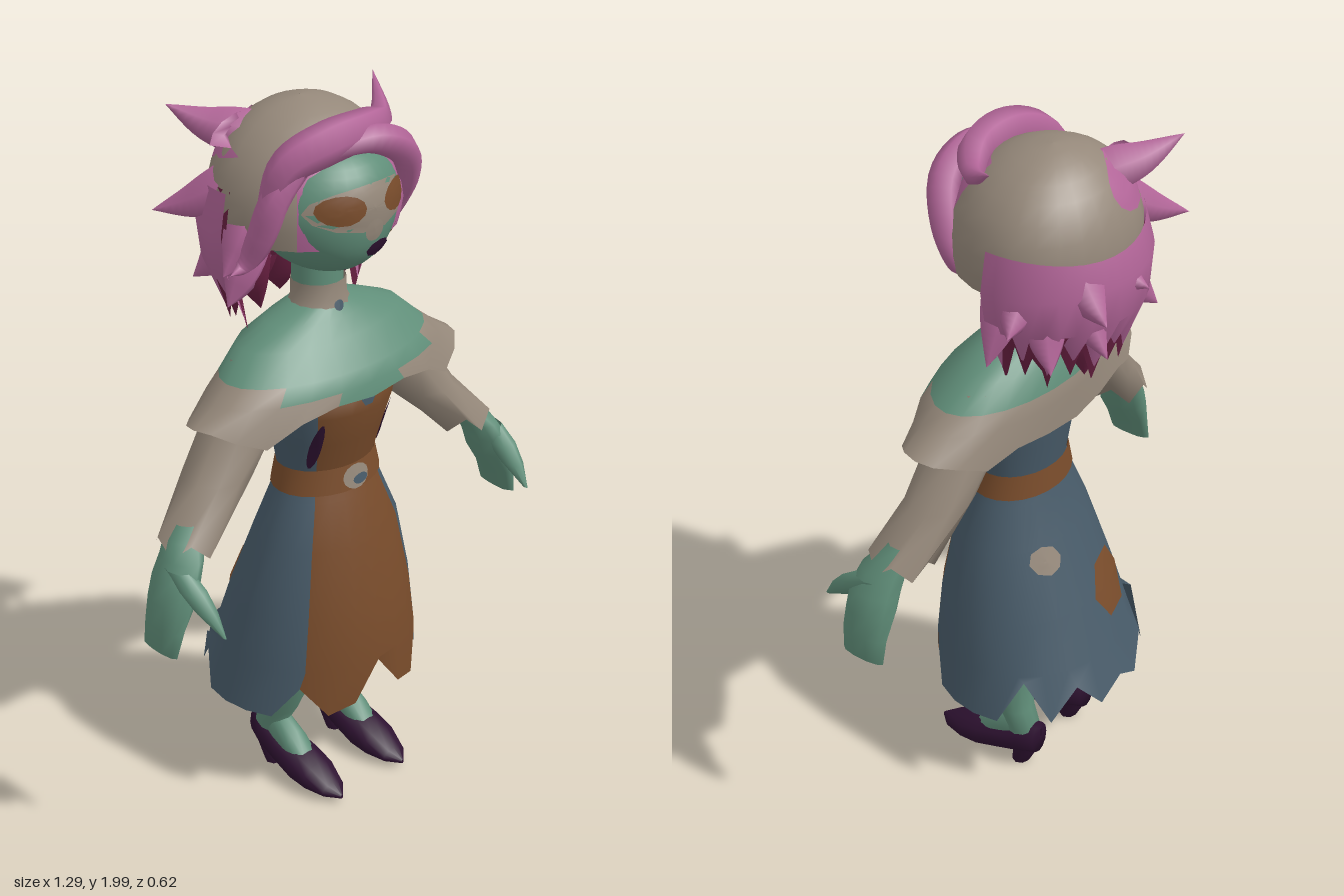
import * as THREE from 'three';

const mat = (name, color) => {
  const m = new THREE.MeshStandardMaterial({ color, side: THREE.DoubleSide });
  m.name = name;
  return m;
};
const skin = mat('green skin', 0x608e79), pink = mat('pink hair', 0xb26598), maroon = mat('dark hair', 0x6a2042),
  beige = mat('beige cloth', 0x95887a), slate = mat('slate cloth', 0x485b69), brown = mat('brown cloth', 0x794c2b),
  plum = mat('dark plum', 0x2e1231);

// Smooth skin through a grid of points; paint(i, j) picks the material of each cell
function surface(name, nu, nv, at, paint, closed = true) {
  const cols = closed ? nu : nu + 1, pos = [], lists = new Map();
  for (let j = 0; j <= nv; j++) for (let i = 0; i < cols; i++) pos.push(...at(i, j));
  for (let j = 0; j < nv; j++) for (let i = 0; i < nu; i++) {
    const m = typeof paint === 'function' ? paint(i, j) : paint;
    if (!lists.has(m)) lists.set(m, []);
    const k = (i + 1) % cols, a = j * cols + i, b = a + cols, c = j * cols + k, d = c + cols;
    lists.get(m).push(a, b, c, b, d, c);
  }
  const g = new THREE.BufferGeometry(), index = [], mats = [...lists.keys()];
  g.setAttribute('position', new THREE.Float32BufferAttribute(pos, 3));
  mats.forEach((m, n) => {
    g.addGroup(index.length, lists.get(m).length, n);
    index.push(...lists.get(m));
  });
  g.setIndex(index);
  g.computeVertexNormals();
  const mesh = new THREE.Mesh(g, mats.length > 1 ? mats : mats[0]);
  mesh.name = name;
  return mesh;
}

// Limb through level rings [x, y, z, rx, rz]; jag lifts alternate points of the last ring
const limb = (name, rings, n, paint, jag = 0) => surface(name, n, rings.length - 1, (i, j) => {
  const [x, y, z, rx, rz] = rings[j], a = i / n * Math.PI * 2;
  return [x + rx * Math.sin(a), y + (j === rings.length - 1 && i % 2 ? jag : 0), z + rz * Math.cos(a)];
}, paint);

// Garment through rings [y, rx, front z, back z] with 24 columns; hem gives heights from front to back
const garment = (name, rings, paint, hem) => surface(name, 24, rings.length - 1, (i, j) => {
  const [y, rx, zf, zb] = rings[j], a = i / 12 * Math.PI;
  const yy = hem && j === rings.length - 1 ? hem[Math.min(i, 24 - i)] : y;
  const r = 1 - 0.3 * Math.max(0, yy - y);
  return [r * rx * Math.sin(a), yy, (zf + zb) / 2 + r * (zf - zb) / 2 * Math.cos(a)];
}, paint);

// Tapering lock of hair along a curve; start 0.5 is widest at its root
function lock(name, pts, r, start = 0.5, m = pink) {
  const curve = new THREE.CatmullRomCurve3(pts.map(p => new THREE.Vector3(...p)));
  const nv = pts.length * 4, f = curve.computeFrenetFrames(nv);
  return surface(name, 6, nv, (i, j) => {
    const t = j / nv, w = r * Math.sin(Math.PI * (start + (1 - start) * t)), a = i / 3 * Math.PI;
    return curve.getPoint(t).addScaledVector(f.normals[j], w * Math.cos(a))
      .addScaledVector(f.binormals[j], w * Math.sin(a)).toArray();
  }, m);
}

// Thin patch laid on the front (dir 1) or back (dir -1) of another mesh
function decal(target, name, m, x, y, rx, ry, lift = 0.005, dir = 1, sides = 14) {
  const g = new THREE.RingGeometry(0.001, 1, sides, 4), p = g.attributes.position, ray = new THREE.Raycaster();
  let z = 0;
  for (let i = p.count - 1; i >= 0; i--) {
    const px = x + dir * rx * p.getX(i), py = y + ry * p.getY(i);
    ray.set(new THREE.Vector3(px, py, dir * 2), new THREE.Vector3(0, 0, -dir));
    const hit = ray.intersectObject(target)[0];
    if (hit) z = hit.point.z;
    p.setXYZ(i, px, py, z + dir * lift);
  }
  g.computeVertexNormals();
  const mesh = new THREE.Mesh(g, m);
  mesh.name = name;
  return mesh;
}

export function createModel() {
  const model = new THREE.Group();
  const add = (...parts) => model.add(...parts);
  const isFront = i => i < 3 || i > 20;

  // Ragged skirt with a brown front panel
  const skirt = garment('skirt', [[1.0, 0.143, 0.175, -0.03], [0.92, 0.168, 0.2, -0.05], [0.8, 0.22, 0.24, -0.09],
    [0.6, 0.268, 0.28, -0.17], [0.45, 0.293, 0.297, -0.225], [0.31, 0.318, 0.3, -0.27]],
  i => isFront(i) ? brown : slate,
  [0.44, 0.33, 0.31, 0.4, 0.31, 0.31, 0.31, 0.31, 0.45, 0.31, 0.41, 0.32, 0.37]);
  const bodice = garment('bodice', [[1.44, 0.07, 0.1, -0.02], [1.36, 0.17, 0.15, -0.05], [1.26, 0.2, 0.235, -0.07],
    [1.19, 0.19, 0.235, -0.065], [1.1, 0.165, 0.21, -0.05], [0.99, 0.143, 0.178, -0.033]],
  i => isFront(i) ? brown : slate);
  const belt = garment('belt', [[1.015, 0.15, 0.187, -0.04], [0.945, 0.165, 0.2, -0.05]], brown);
  add(skirt, bodice, belt);
  add(decal(belt, 'buckle', beige, 0, 0.98, 0.045, 0.034), decal(belt, 'buckleCentre', slate, 0.01, 0.972, 0.026, 0.014, 0.009));
  add(decal(skirt, 'brownPatch', brown, -0.09, 0.6, 0.09, 0.09, 0.007, -1, 6),
    decal(skirt, 'beigePatch', beige, 0.11, 0.765, 0.045, 0.042, 0.007, -1, 8),
    decal(bodice, 'necklineNotch', slate, 0, 1.23, 0.025, 0.022, 0.006, 1, 6));
  for (const s of [-1, 1]) add(decal(bodice, 'lacing', plum, s * 0.123, 1.1, 0.012, 0.075));

  // Shoulder cape with a pale ragged border, narrowing at the front
  const capePaint = (i, j) => (j === 3 && i > 2 && i < 21) || (j === 4 && i > 0 && i < 23) ? beige : skin;
  add(garment('cape', [[1.46, 0.075, 0.115, -0.02], [1.425, 0.17, 0.14, -0.05], [1.385, 0.265, 0.175, -0.08],
    [1.32, 0.335, 0.233, -0.1], [1.28, 0.385, 0.25, -0.105], [1.23, 0.455, 0.257, -0.107]], capePaint,
  [1.24, 1.25, 1.23, 1.18, 1.21, 1.235, 1.235, 1.225, 1.21, 1.18, 1.21, 1.2, 1.19]));

  // Neck and collar
  add(limb('neck', [[0, 1.62, 0.04, 0.07, 0.065], [0, 1.42, 0.045, 0.07, 0.065]], 14, skin));
  const collar = limb('collar', [[0, 1.515, 0.045, 0.075, 0.07], [0, 1.47, 0.047, 0.076, 0.071],
    [0, 1.43, 0.05, 0.1, 0.08]], 14, beige);
  add(collar, decal(collar, 'collarStud', slate, 0, 1.455, 0.016, 0.014));

  // Head with a low brow, flat face and painted details
  const headShape = new THREE.SphereGeometry(1, 32, 24), hp = headShape.attributes.position;
  for (let i = 0; i < hp.count; i++) {
    const y = hp.getY(i), z = hp.getZ(i);
    hp.setXYZ(i, hp.getX(i) * 0.2 * (1 + 0.1 * Math.min(y, 0)), 1.74 + y * (y > 0 ? 0.17 : 0.19),
      0.06 + z * 0.19 * (z > 0 ? 1 + 0.23 * y * y : 1));
  }
  headShape.computeVertexNormals();
  const head = new THREE.Mesh(headShape, skin);
  head.name = 'head';
  add(head, decal(head, 'faceMask', beige, 0, 1.765, 0.168, 0.06, 0.004),
    decal(head, 'nose', beige, 0, 1.705, 0.03, 0.03, 0.005));
  for (const s of [-1, 1]) add(decal(head, 'eyePatch', brown, s * 0.09, 1.772, 0.06, 0.038, 0.008));
  add(decal(head, 'mouth', plum, 0.025, 1.647, 0.042, 0.025, 0.007, 1, 8),
    decal(head, 'cheekMark', brown, 0.13, 1.655, 0.02, 0.025, 0.006, 1, 8));

  // Beige cap with pink hair at its front edge and nape
  const cap = surface('cap', 24, 9, (i, j) => {
    const a = i / 12 * Math.PI, t = Math.max(0.001, j / 9) * Math.PI * 0.58, r = Math.sin(t), c = Math.cos(a);
    return [0.01 + 0.262 * r * Math.sin(a), 1.725 + 0.255 * Math.cos(t), -0.035 + (c > 0 ? 0.27 : 0.215) * r * c];
  }, (i, j) => (j > 7 && i > 6 && i < 17) || (j > 2 && (i < 3 || i > 20)) ? pink : beige);
  add(cap, decal(cap, 'hairPatch', pink, -0.11, 1.88, 0.11, 0.065, 0.006, -1));

  // Back hair: pink outside, dark lining inside
  const hairRings = [[1.79, 0.262, 0.215], [1.68, 0.282, 0.24], [1.57, 0.265, 0.235], [1.42, 0.2, 0.18]];
  const curtain = (name, k, drop, m) => surface(name, 20, 3, (i, j) => {
    const [y, rx, rz] = hairRings[j], a = (85 + i * 9.5) * Math.PI / 180, c = Math.cos(a);
    const lift = j === 3 ? (i % 2 ? 0.11 : (i % 4) * 0.015) - drop : j === 0 ? -0.04 * c * c : 0;
    return [0.005 + k * rx * Math.sin(a), y + lift, -0.035 + k * rz * c];
  }, m, false);
  add(curtain('backHair', 1, 0, pink), curtain('hairLining', 0.94, 0.04, maroon));

  // Flicked hair tips: root, tip, thickness; the lowest ones are dark
  const flicks = [
    [[-0.22, 1.78, -0.1], [-0.32, 1.7, -0.23], 0.07], [[-0.02, 1.7, -0.22], [-0.03, 1.64, -0.3], 0.06],
    [[0.12, 1.72, -0.2], [0.17, 1.63, -0.31], 0.07], [[0.22, 1.68, -0.08], [0.32, 1.6, -0.12], 0.07],
    [[0.25, 1.66, -0.03], [0.3, 1.48, -0.04], 0.07], [[-0.25, 1.7, 0], [-0.3, 1.59, 0.02], 0.07],
    [[-0.24, 1.62, -0.03], [-0.27, 1.49, 0], 0.06], [[0.2, 1.62, -0.14], [0.25, 1.49, -0.2], 0.07],
    [[-0.17, 1.62, -0.16], [-0.2, 1.48, -0.22], 0.07], [[0.04, 1.55, -0.2], [0.06, 1.38, -0.17], 0.07],
    [[0.1, 1.64, -0.2], [0.12, 1.5, -0.28], 0.06], [[-0.1, 1.56, -0.18], [-0.09, 1.4, -0.17], 0.07],
    [[0.18, 1.56, -0.12], [0.17, 1.42, -0.13], 0.06], [[-0.13, 1.88, -0.16], [-0.25, 1.96, -0.25], 0.065]];
  for (const [[x, y, z], tip, r] of flicks) {
    const root = [x * 0.72, y, z * 0.72];
    const mid = root.map((v, n) => (v + tip[n]) / 2 + (n === 1 ? -0.012 : 0));
    add(lock('hairFlick', [root, mid, tip], r, 0.5, tip[1] < 1.45 ? maroon : pink));
  }
  for (const s of [-1, 1]) add(lock('innerLock', [[s * 0.17, 1.68, -0.04], [s * 0.175, 1.57, -0.02], [s * 0.14, 1.44, -0.02]], 0.06, 0.3, maroon));

  // Fringe swept across the brow, and locks framing the face
  add(lock('fringe', [[-0.21, 1.76, 0.08], [-0.175, 1.88, 0.12], [-0.08, 1.925, 0.155], [0.06, 1.935, 0.155],
    [0.17, 1.925, 0.09], [0.25, 1.99, -0.02]], 0.055, 0.15));
  add(lock('longLock', [[-0.08, 1.91, 0.17], [0.04, 1.92, 0.2], [0.14, 1.87, 0.2], [0.2, 1.76, 0.155],
    [0.205, 1.67, 0.12], [0.15, 1.62, 0.14]], 0.042, 0.2));
  add(lock('sideLock', [[-0.12, 1.9, 0.14], [-0.2, 1.8, 0.11], [-0.22, 1.7, 0.08], [-0.25, 1.62, 0.05], [-0.31, 1.61, 0.06]], 0.042, 0.2));

  // Arms and legs, built once for each side
  for (const s of [-1, 1]) {
    const side = new THREE.Group();
    side.name = s > 0 ? 'leftLimbs' : 'rightLimbs';
    const flip = rings => rings.map(([x, ...rest]) => [s * x, ...rest]);
    side.add(limb('sleeve', flip([[0.22, 1.36, 0.05, 0.07, 0.07], [0.28, 1.2, 0.055, 0.11, 0.09],
      [0.37, 1.08, 0.065, 0.1, 0.088], [0.5, 0.925, 0.095, 0.08, 0.088]]), 10, beige, 0.045));
    side.add(limb('hand', flip([[0.49, 1.0, 0.09, 0.045, 0.045], [0.515, 0.965, 0.1, 0.05, 0.055], [0.543, 0.925, 0.122, 0.047, 0.068],
      [0.57, 0.875, 0.13, 0.05, 0.076], [0.588, 0.82, 0.132, 0.05, 0.075], [0.615, 0.755, 0.135, 0.03, 0.072],
      [0.63, 0.685, 0.132, 0.016, 0.066], [0.63, 0.673, 0.132, 0.001, 0.03]]), 10, skin));
    side.add(limb('thumb', flip([[0.575, 0.91, 0.14, 0.028, 0.045], [0.572, 0.87, 0.19, 0.034, 0.05],
      [0.567, 0.825, 0.24, 0.026, 0.04], [0.56, 0.77, 0.303, 0.004, 0.008]]), 8, skin));
    side.add(limb('leg', flip([[0.115, 0.7, 0.08, 0.08, 0.09], [0.115, 0.4, 0.055, 0.066, 0.085], [0.115, 0.3, 0.04, 0.062, 0.075],
      [0.115, 0.2, 0.015, 0.052, 0.052], [0.12, 0.14, -0.015, 0.045, 0.05], [0.12, 0.08, 0, 0.03, 0.04]]), 12, skin));
    // Sections along z: z, bottom, top, half width
    const along = (name, rows, m) => surface(name, 12, rows.length - 1, (i, j) => {
      const [z, lo, hi, w] = rows[j], a = i / 6 * Math.PI;
      return [s * 0.12 + w * Math.sin(a), (lo + hi) / 2 + (hi - lo) / 2 * Math.cos(a), z];
    }, m);
    side.add(along('instep', [[-0.03, 0.08, 0.19, 0.03], [0.03, 0.06, 0.185, 0.04], [0.09, 0.04, 0.145, 0.042],
      [0.15, 0.03, 0.085, 0.035], [0.17, 0.04, 0.05, 0.002]], skin));
    side.add(along('shoe', [[-0.076, 0.12, 0.15, 0.003], [-0.07, 0.06, 0.165, 0.035], [-0.02, 0.045, 0.15, 0.052], [0.05, 0.025, 0.122, 0.058],
      [0.12, 0.004, 0.105, 0.063], [0.18, 0.003, 0.083, 0.06], [0.24, 0.008, 0.05, 0.04], [0.278, 0.015, 0.028, 0.004]], plum));
    side.add(limb('heel', [[s * 0.12, 0.1, -0.03, 0.045, 0.045], [s * 0.12, 0.05, -0.02, 0.035, 0.036],
      [s * 0.12, 0, -0.005, 0.028, 0.026], [s * 0.12, 0, -0.005, 0.001, 0.001]], 8, plum));
    model.add(side);
  }
  return model;
}
